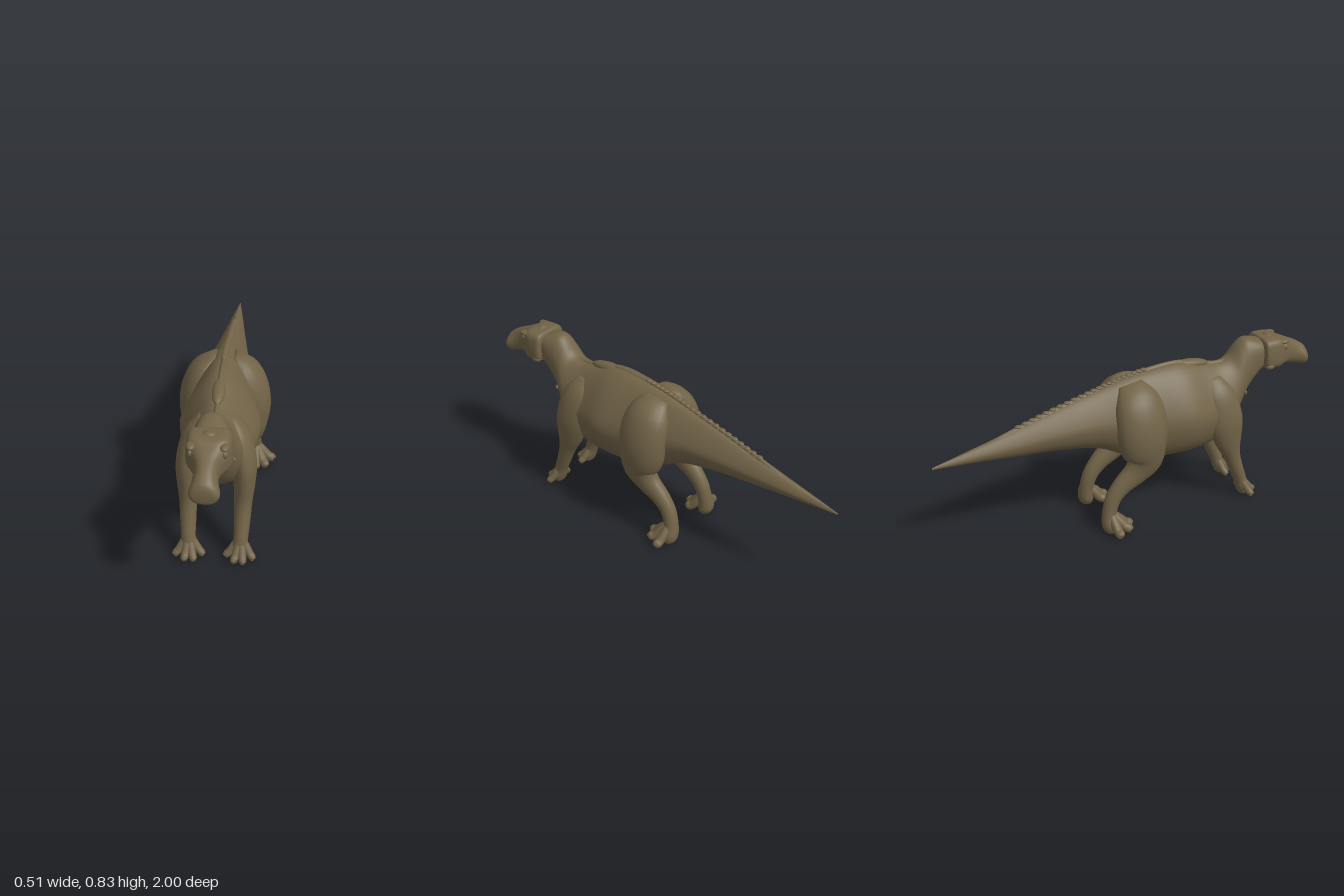
import * as THREE from 'three';

const V = (x, y, z) => new THREE.Vector3(x, y, z);
const hide = new THREE.MeshStandardMaterial({ color: 0x716347 });
hide.name = 'olive brown hide';

// Closed smooth skin over a list of rings, capped at both ends
function skin(rings) {
  const n = rings[0].length, pos = [], idx = [];
  rings.forEach(r => r.forEach(p => pos.push(p.x, p.y, p.z)));
  for (let i = 0; i < rings.length - 1; i++) {
    for (let j = 0; j < n; j++) {
      const k = (j + 1) % n, a = i * n + j, b = i * n + k;
      idx.push(a, b, b + n, a, b + n, a + n);
    }
  }
  const last = (rings.length - 1) * n, total = rings.length * n;
  for (const ring of [rings[0], rings[rings.length - 1]]) {
    const c = V(0, 0, 0);
    ring.forEach(p => c.add(p));
    c.divideScalar(n);
    pos.push(c.x, c.y, c.z);
  }
  for (let j = 0; j < n; j++) {
    const k = (j + 1) % n;
    idx.push(total, k, j, total + 1, last + j, last + k);
  }
  const g = new THREE.BufferGeometry();
  g.setAttribute('position', new THREE.Float32BufferAttribute(pos, 3));
  g.setIndex(idx);
  g.computeVertexNormals();
  return g;
}

const curve = pts => new THREE.CatmullRomCurve3(pts, false, 'catmullrom', 0.5);
const pow = (v, e) => Math.sign(v) * Math.pow(Math.abs(v), e);

// Loft along z; rows are [z, top, bottom, half width, roundness, narrowing at the top]
function trunk(rows, steps, sides = 32) {
  const A = curve(rows.map(r => V(r[0], r[1], r[2])));
  const B = curve(rows.map(r => V(r[3], r[4], r[5])));
  const rings = [];
  for (let i = 0; i <= steps; i++) {
    const a = A.getPoint(i / steps), b = B.getPoint(i / steps);
    const mid = (a.y + a.z) / 2, h = (a.y - a.z) / 2, ring = [];
    for (let j = 0; j < sides; j++) {
      const t = j / sides * Math.PI * 2;
      const s = pow(Math.sin(t), b.y);
      ring.push(V(b.x * pow(Math.cos(t), b.y) * (1 - b.z * Math.max(0, s)), mid + h * s, a.x));
    }
    rings.push(ring);
  }
  return skin(rings);
}

// Loft along a free path; rows are [x, y, z, radius across, radius fore and aft]
function limb(rows, side, ref = V(1, 0, 0), steps = 36, sides = 20) {
  const A = curve(rows.map(r => V(r[0] * side, r[1], r[2])));
  const B = curve(rows.map(r => V(r[3], r[4], 0)));
  const rings = [];
  for (let i = 0; i <= steps; i++) {
    const t = i / steps, c = A.getPoint(t), r = B.getPoint(t);
    const T = A.getTangent(t);
    const u = ref.clone().addScaledVector(T, -ref.dot(T)).normalize();
    const w = T.clone().cross(u);
    const ring = [];
    for (let j = 0; j < sides; j++) {
      const q = j / sides * Math.PI * 2;
      ring.push(c.clone().addScaledVector(u, Math.cos(q) * r.x).addScaledVector(w, Math.sin(q) * r.y));
    }
    rings.push(ring);
  }
  return skin(rings);
}

export function createModel() {
  const model = new THREE.Group();
  const add = (name, geo, parent = model) => {
    const m = new THREE.Mesh(geo, hide);
    m.name = name;
    parent.add(m);
    return m;
  };
  const blob = (name, p, s, parent = model) => {
    const m = add(name, new THREE.SphereGeometry(1, 18, 12), parent);
    m.position.set(...p);
    m.scale.set(...s);
    return m;
  };

  // Tail, belly, chest and neck in one skin
  const bodyRows = [
    [-1, 0.5, 0.49, 0.003, 1, 0.2],
    [-0.8, 0.55, 0.48, 0.029, 1, 0.3],
    [-0.6, 0.602, 0.465, 0.054, 1, 0.35],
    [-0.4, 0.66, 0.45, 0.08, 1, 0.4],
    [-0.2, 0.712, 0.415, 0.108, 1, 0.4],
    [-0.05, 0.75, 0.345, 0.14, 0.95, 0.4],
    [0.1, 0.772, 0.302, 0.165, 0.92, 0.4],
    [0.25, 0.778, 0.297, 0.19, 0.92, 0.42],
    [0.38, 0.748, 0.302, 0.168, 0.92, 0.42],
    [0.47, 0.732, 0.335, 0.15, 0.92, 0.4],
    [0.54, 0.75, 0.395, 0.125, 0.92, 0.3],
    [0.59, 0.81, 0.475, 0.098, 0.9, 0.2],
    [0.63, 0.834, 0.555, 0.085, 0.85, 0.1],
    [0.69, 0.822, 0.64, 0.078, 0.75, 0],
    [0.74, 0.808, 0.67, 0.068, 0.75, 0]];
  add('body', trunk(bodyRows, 84, 40));

  // Ridge along the spine, sinking into the neck, with low scales on the tail
  const ridge = bodyRows.slice(1, 11).map((r, i) =>
    [r[0], r[1] + (i > 0 && i < 9 ? 0.008 : -0.008), r[1] - 0.05, 0.02, 0.95, 0.4]);
  add('spineRidge', trunk(ridge, 50, 14));
  const spine = curve(bodyRows.map(r => V(0, r[1], r[0])));
  for (let i = 0; i < 22; i++) {
    const p = spine.getPoint(0.15 + i * 0.0125);
    blob('spineScale', [0, p.y + 0.004, p.z], [0.014, 0.008, 0.017]);
  }
  blob('shoulderHump', [0, 0.754, 0.335], [0.03, 0.022, 0.09]).rotation.x = 0.15;

  // Head: broad squared cheeks tapering to a flared blunt beak
  const head = new THREE.Group();
  head.name = 'head';
  model.add(head);
  add('skull', trunk([
    [0.708, 0.805, 0.69, 0.075, 0.6, 0],
    [0.718, 0.824, 0.673, 0.097, 0.42, 0.08],
    [0.75, 0.827, 0.668, 0.101, 0.4, 0.1],
    [0.8, 0.824, 0.664, 0.095, 0.42, 0.06],
    [0.835, 0.81, 0.66, 0.076, 0.6, 0.04],
    [0.88, 0.79, 0.656, 0.055, 0.7, 0.1],
    [0.93, 0.768, 0.643, 0.054, 0.75, 0.25],
    [0.97, 0.745, 0.632, 0.064, 0.8, 0.32],
    [0.988, 0.73, 0.634, 0.06, 0.85, 0.3],
    [0.997, 0.712, 0.645, 0.046, 0.9, 0.2],
    [1, 0.69, 0.665, 0.02, 1, 0]], 66, 40), head);
  blob('crownBump', [0, 0.822, 0.765], [0.028, 0.012, 0.02], head);

  for (const side of [1, -1]) {
    const label = side > 0 ? 'left' : 'right';
    blob(label + 'Eye', [side * 0.071, 0.772, 0.832], [0.012, 0.016, 0.016], head);
    blob(label + 'Brow', [side * 0.069, 0.802, 0.822], [0.02, 0.012, 0.03], head);
    blob(label + 'JawCorner', [side * 0.086, 0.686, 0.74], [0.016, 0.016, 0.026], head);
    blob(label + 'NeckWart', [side * 0.091, 0.573, 0.598], [0.008, 0.012, 0.008]);

    // Front leg from shoulder to ankle
    const front = new THREE.Group();
    front.name = label + 'FrontLeg';
    add('frontLimb', limb([
      [0.06, 0.68, 0.42, 0.02, 0.04],
      [0.1, 0.595, 0.435, 0.05, 0.085],
      [0.128, 0.47, 0.462, 0.056, 0.095],
      [0.13, 0.36, 0.483, 0.05, 0.076],
      [0.127, 0.27, 0.508, 0.042, 0.048],
      [0.125, 0.18, 0.54, 0.038, 0.038],
      [0.122, 0.1, 0.572, 0.034, 0.034],
      [0.118, 0.05, 0.585, 0.042, 0.03],
      [0.116, 0.014, 0.59, 0.036, 0.02]], side), front);

    // Hind leg with a heavy thigh leaning in to the hip
    const hind = new THREE.Group();
    hind.name = label + 'HindLeg';
    add('hindLimb', limb([
      [0.045, 0.735, -0.025, 0.02, 0.06],
      [0.095, 0.66, -0.012, 0.07, 0.112],
      [0.131, 0.56, -0.005, 0.083, 0.128],
      [0.142, 0.46, -0.003, 0.082, 0.124],
      [0.141, 0.37, 0.008, 0.066, 0.098],
      [0.138, 0.305, -0.035, 0.05, 0.07],
      [0.135, 0.245, -0.11, 0.042, 0.05],
      [0.135, 0.18, -0.163, 0.038, 0.04],
      [0.14, 0.1, -0.187, 0.038, 0.036],
      [0.15, 0.045, -0.187, 0.046, 0.04],
      [0.15, 0.012, -0.18, 0.036, 0.03]], side), hind);

    // Long toes fanning down from the ankle: [group, root, thickness, tips]
    const feet = [
      [front, [0.122, 0.115, 0.568], 0.019, [[0.052, 0.602], [0.092, 0.645], [0.137, 0.648], [0.184, 0.615]]],
      [hind, [0.143, 0.11, -0.183], 0.024, [[0.241, -0.168], [0.205, -0.1], [0.153, -0.077], [0.107, -0.1]]]];
    for (const [group, [rx, ry, rz], r, tips] of feet) {
      for (const [x, z] of tips) {
        const mix = (k, y, s) => [rx + (x - rx) * k, y, rz + (z - rz) * k, r * s, r * s];
        add('toe', limb([mix(0.05, ry, 0.8), mix(0.4, 0.07, 1), mix(0.72, 0.037, 1),
          mix(0.95, r + 0.005, 0.95), mix(1.04, r + 0.003, 0.65), mix(1.08, r, 0.15)],
          side, V(0, 0.8, 0.6), 18, 12), group);
      }
      model.add(group);
    }
  }
  return model;
}
